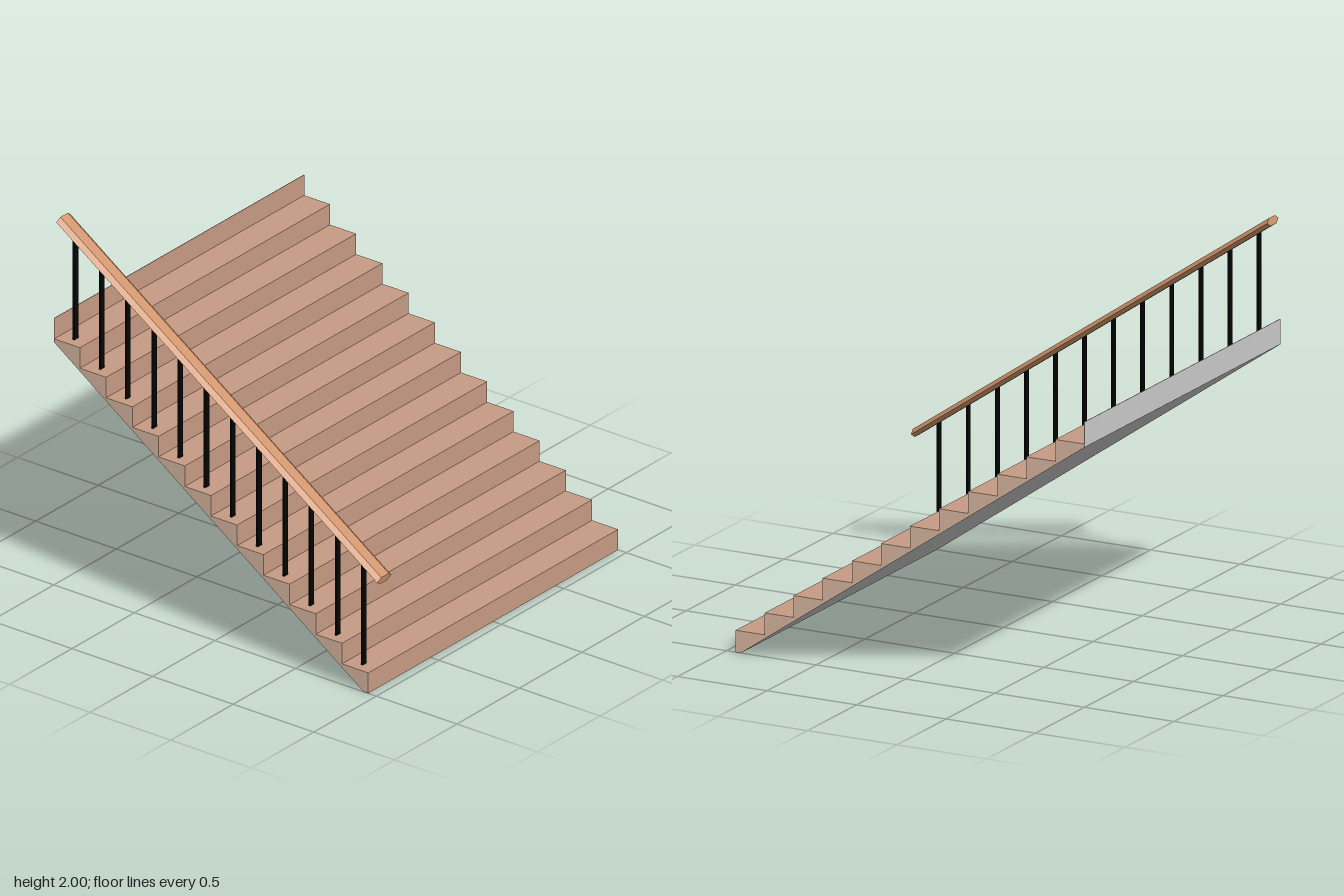
import * as THREE from 'three';

const STEPS = 12, RISE = 0.1123, RUN = 0.1625, FRONT = 0.95;
const WALL = 0.003;
const RAIL_X = -0.93, RAIL_Y = 0.61, SLOPE = 0.687, END_TILT = 0.25;

const mat = (color) => new THREE.MeshStandardMaterial({ color, flatShading: true, side: THREE.DoubleSide });

function add(group, name, geometry, material) {
  const mesh = new THREE.Mesh(geometry, material);
  mesh.name = name;
  group.add(mesh);
  return mesh;
}

// Sweeps a [z, y] polyline across the full width of the stairs
function ribbon(points) {
  const pos = [];
  for (let i = 0; i < points.length - 1; i++) {
    const [z0, y0] = points[i], [z1, y1] = points[i + 1];
    pos.push(-1, y0, z0, 1, y0, z0, 1, y1, z1);
    pos.push(-1, y0, z0, 1, y1, z1, -1, y1, z1);
  }
  const g = new THREE.BufferGeometry();
  g.setAttribute('position', new THREE.Float32BufferAttribute(pos, 3));
  g.computeVertexNormals();
  return g;
}

export function createModel() {
  const model = new THREE.Group();
  model.name = 'staircase';
  const wood = mat(0xc69b84), sideWood = mat(0xe6c3ab), railWood = mat(0xcf946b);
  const metal = mat(0x050505), grey = mat(0xcccccc);

  // Risers and treads, ending with a thin upright board at the back
  const steps = [[FRONT, 0]];
  for (let i = 0; i < STEPS; i++) {
    const y = (i + 1) * RISE;
    steps.push([FRONT - i * RUN, y], [Math.max(FRONT - (i + 1) * RUN, WALL - 1), y]);
  }
  const topY = (STEPS + 1) * RISE;
  steps.push([WALL - 1, topY], [-1, topY]);
  add(model, 'stepsSurface', ribbon(steps), wood);

  // Back face, sloping underside and narrow foot
  const under = [[-1, topY], [-1, 1.33], [0.92, 0], [FRONT, 0]];
  add(model, 'underside', ribbon(under), grey);

  // Sawtooth side faces
  const outline = [...steps, ...under.slice(1, 3)];
  for (const s of [1, -1]) {
    const shape = new THREE.Shape(outline.map(([z, y]) => new THREE.Vector2(-s * z, y)));
    const g = new THREE.ShapeGeometry(shape).rotateY(s * Math.PI / 2).translate(s, 0, 0);
    add(model, s > 0 ? 'leftSide' : 'rightSide', g, sideWood);
  }

  // Handrail: flattened hexagon, sheared to follow the stairs, ends slightly tilted
  const section = new THREE.Shape([
    [-0.057, 0], [-0.03, -0.02], [0.03, -0.02], [0.057, 0], [0.03, 0.02], [-0.03, 0.02],
  ].map(([x, y]) => new THREE.Vector2(x, y)));
  const rail = new THREE.ExtrudeGeometry(section, { depth: 1.99, bevelEnabled: false });
  rail.translate(RAIL_X, 0, -0.995);
  const p = rail.attributes.position;
  for (let i = 0; i < p.count; i++) {
    const y = p.getY(i), z = p.getZ(i);
    p.setY(i, RAIL_Y + y + (1 - z) * SLOPE);
    p.setZ(i, z + y * END_TILT);
  }
  rail.computeVertexNormals();
  add(model, 'handrail', rail, railWood);

  // One flat baluster per step
  const balusters = new THREE.Group();
  balusters.name = 'balusters';
  for (let i = 0; i < STEPS; i++) {
    const z = 0.872 - i * RUN, bottom = (i + 1) * RISE;
    const top = RAIL_Y - 0.01 + (1 - z) * SLOPE;
    const bar = add(balusters, 'baluster', new THREE.BoxGeometry(0.032, top - bottom, 0.01), metal);
    bar.position.set(-0.935, (top + bottom) / 2, z);
  }
  model.add(balusters);
  return model;
}
